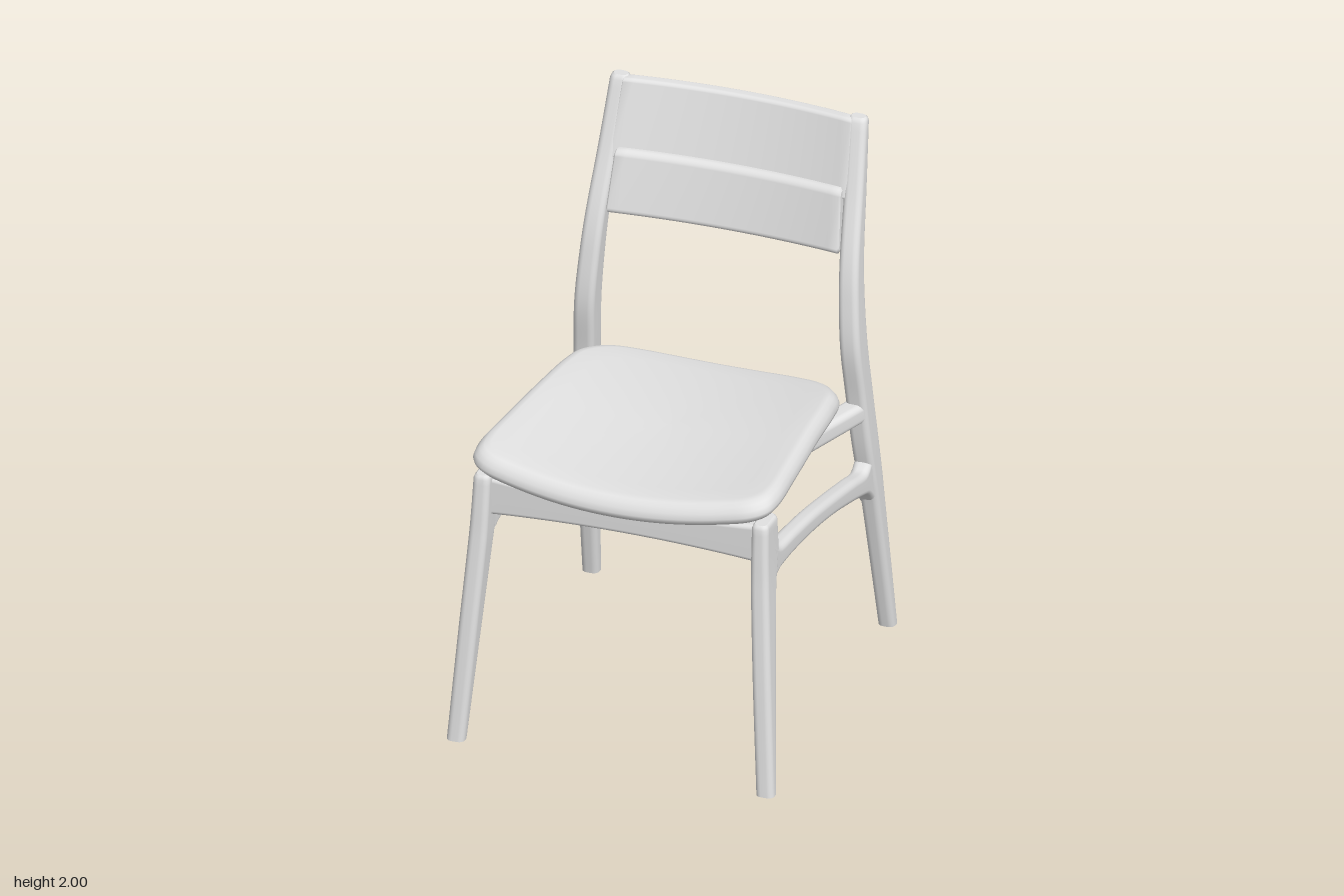
import * as THREE from 'three';

const V = (x, y, z) => new THREE.Vector3(x, y, z);

// Rounded rectangle as 2D points
function roundRect(w, h, r, n = 5) {
  const pts = [];
  [[1, 1], [-1, 1], [-1, -1], [1, -1]].forEach(([sx, sy], q) => {
    for (let i = 0; i <= n; i++) {
      const a = (q + i / n) * Math.PI / 2;
      pts.push([sx * (w / 2 - r) + r * Math.cos(a), sy * (h / 2 - r) + r * Math.sin(a)]);
    }
  });
  return pts;
}

// Smooth skin through rings of points, capped at both ends
function loft(rings) {
  const n = rings[0].length, pos = [], idx = [];
  const add = p => pos.push(p.x, p.y, p.z) / 3 - 1;
  rings.forEach(r => r.forEach(add));
  for (let i = 0; i < rings.length - 1; i++) for (let j = 0; j < n; j++) {
    const a = i * n + j, b = i * n + (j + 1) % n;
    idx.push(a, b, b + n, a, b + n, a + n);
  }
  [rings[0], rings[rings.length - 1]].forEach((r, end) => {
    const c = add(r.reduce((s, p) => s.add(p), V(0, 0, 0)).divideScalar(n));
    r.forEach(add);
    for (let j = 0; j < n; j++) {
      const a = c + 1 + j, b = c + 1 + (j + 1) % n;
      idx.push(c, ...(end ? [a, b] : [b, a]));
    }
  });
  // turn the faces outwards when the signed volume is negative
  let vol = 0;
  const at = i => V(pos[3 * i], pos[3 * i + 1], pos[3 * i + 2]);
  for (let i = 0; i < idx.length; i += 3) vol += at(idx[i]).dot(at(idx[i + 1]).cross(at(idx[i + 2])));
  if (vol < 0) idx.reverse();
  const g = new THREE.BufferGeometry();
  g.setAttribute('position', new THREE.Float32BufferAttribute(pos, 3));
  g.setIndex(idx);
  g.computeVertexNormals();
  return g;
}

// Smooth interpolation of a row of numbers against its first column
function sampler(rows) {
  return t => {
    let i = 0;
    while (i < rows.length - 2 && t > rows[i + 1][0]) i++;
    const a = rows[i], b = rows[i + 1], p = rows[Math.max(i - 1, 0)], q = rows[Math.min(i + 2, rows.length - 1)];
    const h = b[0] - a[0], u = (t - a[0]) / h;
    return a.map((_, k) => {
      const m0 = (b[k] - p[k]) / (b[0] - p[0]) * h, m1 = (q[k] - a[k]) / (q[0] - a[0]) * h;
      return (2 * u ** 3 - 3 * u * u + 1) * a[k] + (u ** 3 - 2 * u * u + u) * m0
        + (3 * u * u - 2 * u ** 3) * b[k] + (u ** 3 - u * u) * m1;
    });
  };
}

// Leg from rows of [y, x, z, width, depth], rounded over at the top
function leg(rows, s, steps = 48) {
  const f = sampler(rows), y0 = rows[0][0], y1 = rows[rows.length - 1][0], rings = [];
  const ring = (y, shrink) => {
    const [, x, z, w, d] = f(y);
    return roundRect(w - shrink, d - shrink, 0.022 - shrink / 4).map(([a, b]) => V(s * (x + a), y, z + b));
  };
  for (let i = 0; i <= steps; i++) rings.push(ring(y0 + (y1 - 0.015 - y0) * i / steps, 0));
  rings.push(ring(y1 - 0.005, 0.007), ring(y1, 0.018));
  return loft(rings);
}

// Curved slab across the back: leaning by slope, bowed backwards in the middle
function backPanel(yLow, yHigh, halfLow, halfHigh, zTop, thick, slope, bow, r) {
  const h = yHigh - yLow, rings = [];
  const ring = (u, shrink) => roundRect(thick - shrink, h - shrink, r - shrink / 3).map(([a, b]) => {
    const half = halfLow + (halfHigh - halfLow) * (b / h + 0.5);
    return V(u * half, yLow + h / 2 + b - 0.008 * (1 - u * u), zTop + a + (h / 2 - b) * slope + bow * u * u);
  });
  rings.push(ring(-1, 0.02), ring(-0.985, 0));
  for (let i = 1; i < 24; i++) rings.push(ring(-0.985 + 1.97 * i / 24, 0));
  rings.push(ring(0.985, 0), ring(1, 0.02));
  return loft(rings);
}

// Saddle-shaped seat: rounded edge profile around a spline outline
function seat() {
  const half = [[0.2, 0.648], [0.4, 0.625], [0.5, 0.604], [0.545, 0.565], [0.559, 0.49], [0.547, 0.3],
    [0.522, 0], [0.503, -0.22], [0.483, -0.32], [0.41, -0.415], [0.3, -0.46], [0.15, -0.484]];
  const pts = [[0, 0.655], ...half, [0, -0.49], ...half.slice().reverse().map(([x, z]) => [-x, z])];
  const curve = new THREE.CatmullRomCurve3(pts.map(([x, z]) => V(x, 0, z)), true);
  const outline = curve.getPoints(130).slice(0, -1);
  // [inset from the outline, height above the underside]
  const profile = [[0.035, 0], [0.014, 0.004], [0.003, 0.016], [0, 0.03], [0.006, 0.05], [0.018, 0.068], [0.032, 0.079], [0.052, 0.085]];
  const inner = [0.12, 0.2, 0.3, 0.4, 0.5, 0.549];
  const rings = [...inner.slice().reverse().map(i => [i, 0]), ...profile, ...inner.map(i => [i, 0.085])];
  return loft(rings.map(([inset, h]) => outline.map(p => {
    const k = 1 - inset / 0.55, x = p.x * k, z = 0.08 + (p.z - 0.08) * k;
    // the seat slopes gently and droops towards the back
    const slope = 0.01 * z - 0.04 * (Math.max(0, 0.1 - z) / 0.59) ** 2;
    return V(x, 0.973 + h + 0.058 * (x / 0.53) ** 2 + slope, z);
  })));
}

// Arched rail below the seat between front and back leg: rows of [z, bottom, top]
function sideRail(s) {
  const f = sampler([[-0.51, 0.53, 0.79], [-0.475, 0.575, 0.755], [-0.445, 0.602, 0.722], [-0.41, 0.617, 0.709],
    [-0.3, 0.652, 0.735], [-0.1, 0.706, 0.781], [0.1, 0.746, 0.822], [0.3, 0.772, 0.852],
    [0.42, 0.779, 0.866], [0.455, 0.777, 0.878], [0.5, 0.765, 0.91]]);
  const rings = [];
  for (let i = 0; i <= 60; i++) {
    const [z, lo, hi] = f(-0.51 + 1.01 * i / 60);
    rings.push(roundRect(0.066, hi - lo, 0.024).map(([a, b]) => V(s * (0.518 + a), (lo + hi) / 2 + b, z)));
  }
  return loft(rings);
}

// Front rail with an arched underside and a hollow top
function frontRail() {
  const rings = [];
  for (let i = 0; i <= 24; i++) {
    const u = i / 12 - 1, lo = 0.864 - 0.02 * u * u, hi = 0.97 + 0.022 * u * u;
    rings.push(roundRect(0.06, hi - lo, 0.016).map(([a, b]) => V(u * 0.505, (lo + hi) / 2 + b, 0.515 + a)));
  }
  return loft(rings);
}

// Straight bar under the seat, running inwards from back leg to front rail
function seatBar(s) {
  const ring = (x, z) => roundRect(0.085, 0.078, 0.024).map(([a, b]) => V(s * (x + a), 0.934 + b, z));
  return loft([ring(0.5, -0.44), ring(0.16, 0.5)]);
}

export function createModel() {
  const model = new THREE.Group();
  const grey = new THREE.MeshStandardMaterial({ color: 0xe2e2e2 });
  grey.name = 'light grey';
  const add = (name, geometry) => {
    const m = new THREE.Mesh(geometry, grey);
    m.name = name;
    model.add(m);
  };

  const frontLeg = [[0, 0.573, 0.656, 0.066, 0.055], [0.4, 0.546, 0.602, 0.068, 0.082], [0.74, 0.524, 0.55, 0.068, 0.105],
    [0.8, 0.521, 0.538, 0.067, 0.115], [0.88, 0.518, 0.522, 0.065, 0.132], [1.01, 0.515, 0.515, 0.062, 0.12]];
  const backLeg = [[0, 0.548, -0.627, 0.062, 0.055], [0.55, 0.528, -0.531, 0.07, 0.082], [0.65, 0.523, -0.513, 0.073, 0.092],
    [0.8, 0.515, -0.486, 0.076, 0.1], [1, 0.503, -0.46, 0.077, 0.1], [1.2, 0.492, -0.437, 0.076, 0.104],
    [1.4, 0.479, -0.451, 0.074, 0.092], [1.54, 0.47, -0.48, 0.072, 0.083], [1.75, 0.456, -0.551, 0.07, 0.07],
    [2, 0.44, -0.628, 0.07, 0.052]];

  for (const [side, s] of [['left', 1], ['right', -1]]) {
    add(side + 'FrontLeg', leg(frontLeg, s));
    add(side + 'BackLeg', leg(backLeg, s, 72));
    add(side + 'SideRail', sideRail(s));
    add(side + 'SeatBar', seatBar(s));
  }
  add('frontRail', frontRail());
  add('seat', seat());
  add('upperBackPanel', backPanel(1.72, 1.997, 0.445, 0.425, -0.661, 0.044, 0.31, 0.045, 0.012));
  add('lowerBackPad', backPanel(1.535, 1.762, 0.432, 0.418, -0.58, 0.085, 0.25, 0.039, 0.022));
  return model;
}
